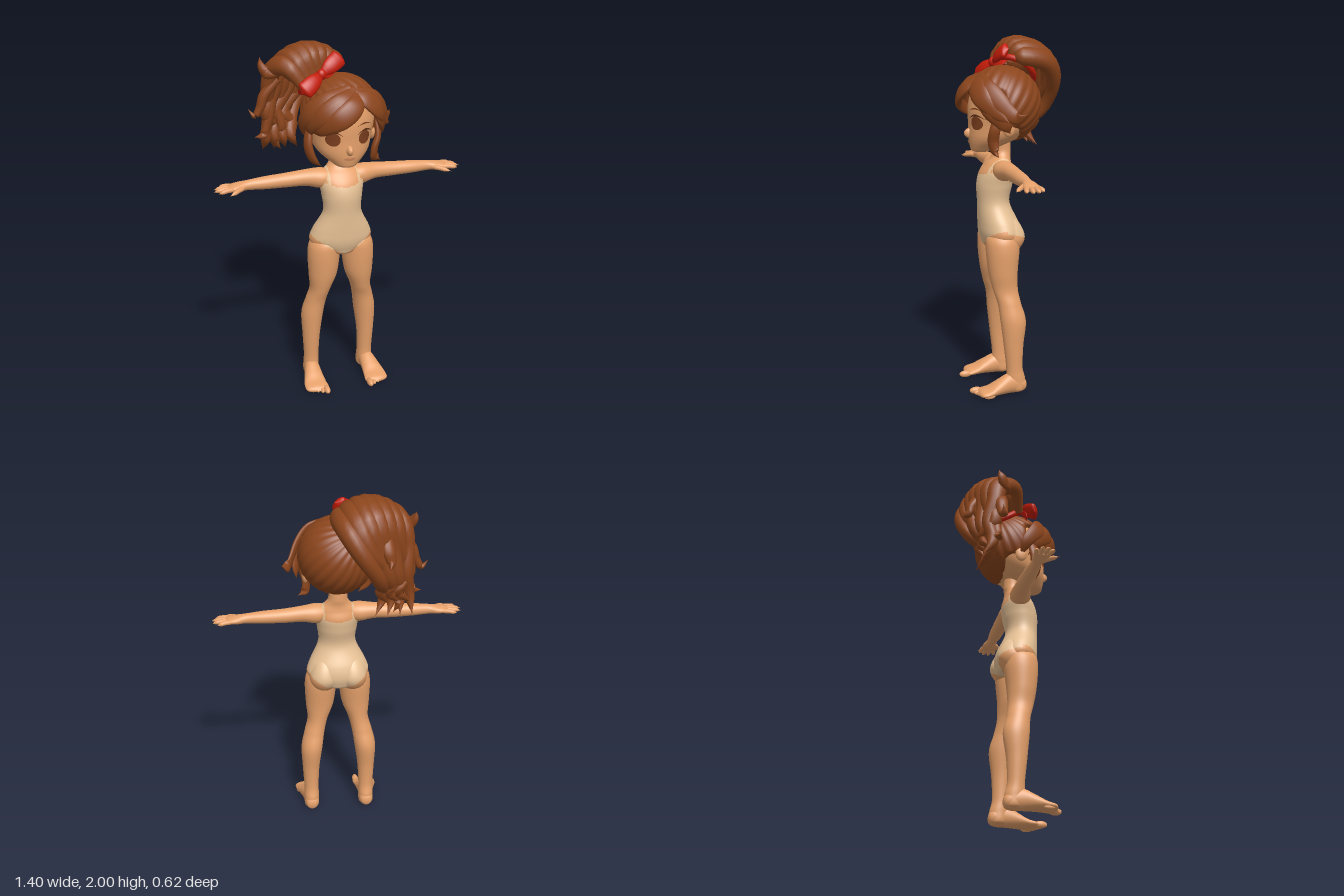
import * as THREE from 'three';
import { mergeVertices } from 'three/addons/utils/BufferGeometryUtils.js';

const V = (x, y, z) => new THREE.Vector3(x, y, z);
const mat = (name, color) => Object.assign(new THREE.MeshStandardMaterial({ color }), { name });
const smooth = THREE.MathUtils.smoothstep;

// Catmull-Rom sample of a table of rows, t in 0..1
function sample(rows, t) {
  const f = t * (rows.length - 1), i = Math.min(Math.floor(f), rows.length - 2), s = f - i;
  const at = k => rows[Math.max(0, Math.min(rows.length - 1, k))];
  return rows[i].map((_, c) => {
    const [a, b, d, e] = [at(i - 1)[c], at(i)[c], at(i + 1)[c], at(i + 2)[c]];
    return b + 0.5 * s * (d - a + s * (2 * a - 5 * b + 4 * d - e + s * (3 * (b - d) + e - a)));
  });
}

// Closed skin over rings; paint(x, y, z) picks the material slot of each quad
function skinRings(rings, segs, ringPoint, paint) {
  const pos = [], lists = [[], []];
  for (let i = 0; i <= rings; i++)
    for (let j = 0; j < segs; j++) pos.push(...ringPoint(i / rings, (j / segs) * Math.PI * 2));
  for (let i = 0; i < rings; i++)
    for (let j = 0; j < segs; j++) {
      const k = (j + 1) % segs, a = i * segs + j, b = i * segs + k, c = a + segs, d = b + segs;
      const mid = n => (pos[a * 3 + n] + pos[d * 3 + n]) / 2;
      lists[paint ? paint(mid(0), mid(1), mid(2)) : 0].push(a, c, b, b, c, d);
    }
  const g = new THREE.BufferGeometry();
  g.setAttribute('position', new THREE.Float32BufferAttribute(pos, 3));
  g.setIndex([...lists[0], ...lists[1]]);
  if (paint) {
    g.addGroup(0, lists[0].length, 0);
    g.addGroup(lists[0].length, lists[1].length, 1);
  }
  g.computeVertexNormals();
  return g;
}

// Elliptical loft, rows [along, c1, c2, r1, r2]; order y: c=(x,z), x: c=(z,y), z: c=(y,x)
function loft(rows, axis = 'y', rings = 40, segs = 32, paint) {
  return skinRings(rings, segs, (t, a) => {
    const [l, c1, c2, r1, r2] = sample(rows, t);
    const u = c1 + Math.max(r1, 0.0005) * Math.cos(a), v = c2 + Math.max(r2, 0.0005) * Math.sin(a);
    return axis === 'y' ? [u, l, v] : axis === 'x' ? [l, v, u] : [v, u, l];
  }, paint);
}

// Tapered lock along a curve, lying flat against the direction away from centre
function strand(points, widths, thick, centre, segs = 14) {
  const curve = new THREE.CatmullRomCurve3(points), w = widths.map(x => [x]);
  return skinRings(30, segs, (t, a) => {
    const p = curve.getPoint(t), tan = curve.getTangent(t);
    const n = p.clone().sub(centre).addScaledVector(tan, -p.clone().sub(centre).dot(tan)).normalize();
    const b = tan.clone().cross(n), r = Math.max(sample(w, t)[0], 0.0006);
    return p.addScaledVector(b, r * Math.cos(a)).addScaledVector(n, r * thick * Math.sin(a)).toArray();
  });
}

function mirrored(geo) {
  const g = geo.clone().scale(-1, 1, 1), ix = g.index.array;
  for (let i = 0; i < ix.length; i += 3) [ix[i], ix[i + 1]] = [ix[i + 1], ix[i]];
  return g;
}

const ball = (x, y, z, rx, ry, rz) => new THREE.SphereGeometry(1, 24, 16).scale(rx, ry, rz).translate(x, y, z);

const HEAD = [[1.365, 0, 0.175, 0, 0], [1.372, 0, 0.175, 0.05, 0.05], [1.4, 0, 0.15, 0.09, 0.088],
  [1.45, 0, 0.1, 0.143, 0.145], [1.52, 0, 0.06, 0.17, 0.185], [1.62, 0, 0.05, 0.188, 0.195],
  [1.72, 0, 0.05, 0.165, 0.165], [1.8, 0, 0.05, 0.09, 0.09], [1.82, 0, 0.05, 0, 0]];

// Depth of the face surface at x, y
function faceZ(x, y) {
  let lo = 0, hi = 1;
  for (let i = 0; i < 24; i++) sample(HEAD, (lo + hi) / 2)[0] < y ? (lo = (lo + hi) / 2) : (hi = (lo + hi) / 2);
  const [, , c, rx, rz] = sample(HEAD, lo);
  return c + rz * Math.sqrt(Math.max(0, 1 - (x / rx) ** 2));
}
// Thin plate laid on the face
function facePatch(geo, place, lift = 0.004) {
  const p = geo.attributes.position;
  for (let i = 0; i < p.count; i++) {
    const [x, y] = place(p.getX(i), p.getY(i));
    p.setXYZ(i, x, y, faceZ(x, y) + lift);
  }
  geo.computeVertexNormals();
  return geo;
}

export function createModel() {
  const root = new THREE.Group();
  const skin = mat('skin', 0xe6a16b), suit = mat('suit', 0xe8c296), hair = mat('hair', 0x8b451c),
    red = mat('ribbon red', 0xc41c08), iris = mat('iris', 0x7d3f1e), dark = mat('lash brown', 0x5a2d16),
    lip = mat('lip', 0xcc845a);
  const add = (name, geo, m) => {
    const mesh = new THREE.Mesh(geo, m);
    mesh.name = name;
    root.add(mesh);
  };
  const pair = (name, geo, m) => {
    add(name + 'Left', geo, m);
    add(name + 'Right', mirrored(geo), m);
  };

  // Body: the suit runs from the leg line to a scooped neckline, with two straps
  const paint = (x, y, z) => {
    const ax = Math.abs(x), legLine = (z > 0.07 ? 0.83 : 0.81) + 0.64 * ax;
    return y > legLine && (y < 1.243 + 2 * ax * ax || (y < 1.345 && Math.abs(ax - 0.085) < 0.009)) ? 1 : 0;
  };
  const body = [skin, suit];
  add('torso', loft([[0.805, 0, 0.07, 0.01, 0.01], [0.83, 0, 0.07, 0.085, 0.085], [0.865, 0, 0.07, 0.15, 0.106],
    [0.91, 0, 0.073, 0.178, 0.116], [0.97, 0, 0.082, 0.161, 0.112], [1.08, 0, 0.108, 0.108, 0.09], [1.18, 0, 0.102, 0.114, 0.1],
    [1.25, 0, 0.09, 0.125, 0.095], [1.3, 0, 0.08, 0.115, 0.072], [1.335, 0, 0.066, 0.075, 0.054],
    [1.37, 0, 0.058, 0.054, 0.05], [1.43, 0, 0.06, 0.054, 0.05], [1.48, 0, 0.06, 0.05, 0.05]], 'y', 140, 104, paint), body);
  pair('buttock', loft([[0.8, 0.085, 0.045, 0, 0], [0.82, 0.085, 0.043, 0.055, 0.055], [0.88, 0.083, 0.04, 0.083, 0.089],
    [0.94, 0.08, 0.045, 0.075, 0.082], [1, 0.07, 0.055, 0.05, 0.05], [1.03, 0.06, 0.06, 0, 0]], 'y', 60, 56, paint), body);
  pair('leg', loft([[0.95, 0.085, 0.08, 0.03, 0.04], [0.9, 0.092, 0.08, 0.08, 0.087], [0.83, 0.099, 0.08, 0.091, 0.095],
    [0.7, 0.105, 0.08, 0.081, 0.083], [0.6, 0.12, 0.07, 0.059, 0.071], [0.52, 0.14, 0.052, 0.059, 0.066],
    [0.42, 0.158, 0.035, 0.062, 0.072], [0.28, 0.165, 0.035, 0.05, 0.056], [0.15, 0.165, 0.03, 0.043, 0.047],
    [0.08, 0.165, 0.022, 0.044, 0.054], [0.02, 0.165, 0.015, 0.04, 0.045], [0.002, 0.165, 0.015, 0, 0]].reverse(),
  'y', 120, 48, paint), body);

  // Feet and toes
  pair('foot', loft([[-0.04, 0.045, 0.165, 0, 0], [-0.032, 0.045, 0.165, 0.03, 0.028], [0, 0.052, 0.165, 0.051, 0.042],
    [0.06, 0.06, 0.17, 0.059, 0.045], [0.13, 0.043, 0.178, 0.042, 0.056], [0.18, 0.028, 0.182, 0.027, 0.065],
    [0.23, 0.02, 0.178, 0.018, 0.062], [0.25, 0.018, 0.17, 0, 0]], 'z'), skin);
  for (let i = 0; i < 5; i++) {
    const r = i ? 0.016 - i * 0.0007 : 0.02;
    pair('toe' + (i + 1), ball(0.132 + i * 0.025, r, 0.247 - i * 0.014, r * 0.9, r, i ? 0.032 : 0.037), skin);
  }

  // Arms and hands
  pair('arm', loft([[0.06, 0.08, 1.275, 0.05, 0.045], [0.12, 0.075, 1.273, 0.06, 0.056], [0.2, 0.065, 1.278, 0.047, 0.045],
    [0.3, 0.06, 1.274, 0.041, 0.04], [0.42, 0.06, 1.272, 0.037, 0.035], [0.51, 0.06, 1.27, 0.029, 0.028],
    [0.56, 0.06, 1.267, 0.041, 0.024], [0.6, 0.063, 1.265, 0.044, 0.019], [0.625, 0.063, 1.262, 0.034, 0.013],
    [0.63, 0.063, 1.262, 0, 0]], 'x', 50), skin);
  const under = V(0.6, 0.5, 0.06);
  [[0.67, 0.015], [0.698, 0.045], [0.702, 0.078], [0.682, 0.11]].forEach(([x, z], i) =>
    pair('finger' + (i + 1), strand([V(0.59, 1.264, 0.034 + i * 0.019), V((x + 0.59) / 2, 1.264, (z + 0.034 + i * 0.019) / 2),
      V(x, 1.256, z)], [0.013, 0.014, 0.0135, 0.013, 0.011, 0], 0.95, under), skin));
  pair('thumb', strand([V(0.54, 1.266, 0.075), V(0.575, 1.262, 0.11), V(0.628, 1.252, 0.15)],
    [0.017, 0.017, 0.014, 0.012, 0], 0.9, under), skin);

  // Head and face
  add('head', loft(HEAD, 'y', 60, 48), skin);
  add('nose', ball(0, 1.472, 0.232, 0.02, 0.03, 0.04), skin);
  pair('ear', ball(0.18, 1.51, 0.065, 0.018, 0.045, 0.034), skin);
  pair('iris', facePatch(new THREE.RingGeometry(0.0001, 1, 28, 4), (x, y) => [0.086 + x * 0.036, 1.535 + y * 0.037]), iris);
  const arc = (cx, cy, len, rise, thick) => facePatch(new THREE.PlaneGeometry(1, 1, 16, 2),
    (u, v) => [cx + u * len, cy + rise * (1 - 4 * u * u) + v * thick * (1.1 - 2 * Math.abs(u))], 0.007);
  pair('upperLash', arc(0.09, 1.556, 0.1, 0.022, 0.011), dark);
  pair('eyebrow', arc(0.085, 1.602, 0.085, 0.012, 0.009), iris);
  add('lips', facePatch(new THREE.RingGeometry(0.0001, 1, 24, 3), (x, y) => [x * 0.032, 1.424 + y * 0.008 + x * x * 0.003], 0.005), lip);

  // Hair cap, with ridges gathered at the ponytail and pushed in at the face opening
  const centre = V(0.005, 1.625, 0.055), axis = V(-0.5, 0.72, -0.48).normalize();
  const tilt = new THREE.Quaternion().setFromUnitVectors(V(0, 1, 0), axis);
  let cap = new THREE.SphereGeometry(0.215, 120, 60);
  cap.deleteAttribute('uv');
  cap.deleteAttribute('normal');
  cap = mergeVertices(cap, 1e-5);
  const cp = cap.attributes.position, p = V(0, 0, 0);
  for (let i = 0; i < cp.count; i++) {
    p.fromBufferAttribute(cp, i);
    const ridge = 1 + 0.03 * (Math.abs(Math.sin(12 * Math.atan2(p.z, p.x))) - 0.7) * Math.hypot(p.x, p.z) / 0.215;
    p.multiplyScalar(ridge).applyQuaternion(tilt);
    const y = p.y + centre.y, z = p.z + centre.z;
    const face = smooth(z, 0.08, 0.13) * smooth(1.725 - y, 0, 0.03), neck = smooth(z, -0.02, 0.03) * smooth(1.52 - y, 0, 0.04);
    p.multiplyScalar(1 - 0.27 * Math.max(face, neck)).add(centre);
    cp.setXYZ(i, p.x, p.y, p.z);
  }
  cap.computeVertexNormals();
  add('hairCap', cap, hair);

  // Bangs: points as [degrees round the head, height, lift]
  const onHead = ([deg, y, lift]) => {
    const r = Math.sqrt(0.215 ** 2 - (y - centre.y) ** 2) + lift, a = deg * Math.PI / 180;
    return V(centre.x + r * Math.sin(a), y, centre.z + r * Math.cos(a));
  };
  [
    [[20, 1.775, 0], [3, 1.72, 0.022], [-20, 1.65, 0.028], [-45, 1.59, 0.016], [-62, 1.555, 0]],
    [[14, 1.79, 0], [-15, 1.74, 0.016], [-40, 1.67, 0.022], [-62, 1.59, 0.015], [-74, 1.51, 0.005]],
    [[5, 1.8, 0], [-35, 1.745, 0.01], [-62, 1.67, 0.018], [-80, 1.58, 0.018], [-90, 1.48, 0.02]],
    [[15, 1.78, 0], [30, 1.74, 0.01], [48, 1.67, 0.018], [68, 1.6, 0.025], [84, 1.55, 0.07]],
    [[20, 1.79, 0], [46, 1.735, 0.01], [70, 1.66, 0.015], [92, 1.575, 0.06], [102, 1.6, 0.1]],
    [[35, 1.72, 0], [58, 1.63, 0.008], [78, 1.54, 0.03], [86, 1.49, 0.055]],
  ].forEach((pts, i) => add('bang' + (i + 1), strand(pts.map(onHead), [0.02, 0.05, 0.058, 0.045, 0.03, 0], 0.34, centre), hair));
  add('sideLockRight', strand([V(-0.185, 1.6, 0.12), V(-0.2, 1.49, 0.145), V(-0.175, 1.41, 0.15), V(-0.125, 1.36, 0.14)],
    [0.024, 0.032, 0.033, 0.025, 0], 0.6, centre), hair);
  add('sideLockLeft', strand([V(0.185, 1.6, 0.12), V(0.19, 1.51, 0.145), V(0.17, 1.44, 0.15), V(0.175, 1.385, 0.14), V(0.215, 1.36, 0.13)],
    [0.022, 0.029, 0.031, 0.026, 0], 0.6, centre), hair);

  // Ponytail: a fan of fat wavy locks over a core, with loose curls
  const tail = V(-0.17, 1.77, -0.08);
  add('ponytailCore', ball(-0.15, 1.86, -0.09, 0.14, 0.1, 0.12), hair);
  for (let i = 0; i < 7; i++) {
    const u = -1 + i / 3, wave = i % 2 ? 0.025 : -0.02;
    add('ponytailLock' + (i + 1), strand([V(-0.1 - 0.09 * u, 1.83 - 0.05 * u, 0.01 + 0.04 * u),
      V(-0.13 - 0.14 * u, 1.945 - 0.06 * u * u, -0.03 + 0.03 * u), V(-0.17 - 0.15 * u, 1.9 - 0.05 * u * u, -0.185 + 0.055 * u + 0.03 * u * u),
      V(-0.22 - 0.125 * u, 1.73, -0.2 + 0.07 * u), V(-0.28 - 0.08 * u - wave, 1.59, -0.185 + 0.04 * u + wave),
      V(-0.27 - 0.07 * u + wave, 1.48 + wave, -0.165 - wave), V(-0.29 - 0.1 * u - wave, 1.385 + wave, -0.18 + wave)],
    [0.03, 0.05, 0.057, 0.054, 0.044, 0.038, 0.031, 0], 0.85, tail), hair);
  }
  [
    [[-0.3, 1.8, -0.09], [-0.375, 1.71, -0.1], [-0.4, 1.64, -0.1], [-0.43, 1.6, -0.1], [-0.465, 1.64, -0.11]],
    [[-0.27, 1.86, -0.05], [-0.36, 1.84, -0.08], [-0.385, 1.87, -0.1], [-0.39, 1.915, -0.12]],
    [[-0.32, 1.68, -0.13], [-0.35, 1.55, -0.13], [-0.38, 1.48, -0.12], [-0.43, 1.47, -0.12]],
    [[-0.3, 1.62, -0.15], [-0.27, 1.5, -0.15], [-0.3, 1.42, -0.16], [-0.27, 1.37, -0.17]],
    [[-0.22, 1.82, -0.2], [-0.23, 1.74, -0.245], [-0.24, 1.69, -0.26], [-0.23, 1.67, -0.3]],
  ].forEach((pts, i) => add('curl' + (i + 1), strand(pts.map(q => V(...q)), [0.032, 0.037, 0.031, 0.022, 0], 0.75, tail), hair));

  // Hair band and bow
  const band = new THREE.TorusGeometry(0.118, 0.017, 12, 48).rotateX(Math.PI / 2).applyQuaternion(tilt);
  add('hairBand', band.translate(-0.09, 1.8, -0.035), red);
  const knot = V(-0.105, 1.85, 0.08), along = V(0.12, 0.075, -0.055), behind = V(-0.1, 1.72, -0.25);
  for (const s of [1, -1]) {
    const side = s > 0 ? 'Left' : 'Right';
    const at = (k, dy, dz) => knot.clone().addScaledVector(along, s * k).add(V(0, dy, dz));
    add('bowLoop' + side, strand([at(0, 0, 0), at(0.35, 0.004, 0.008), at(0.75, 0.004, 0.01), at(1.05, 0, 0)],
      [0.016, 0.027, 0.039, 0.045, 0.046, 0.044, 0], 0.5, behind, 20), red);
    add('bowEnd' + side, strand([at(0, 0, 0), at(0.35, -0.03, 0), at(0.75, -0.045, -0.02)],
      [0.012, 0.02, 0.024, 0.022, 0], 0.25, behind), red);
  }
  add('bowKnot', ball(knot.x, knot.y, knot.z, 0.026, 0.03, 0.024), red);
  return root;
}
